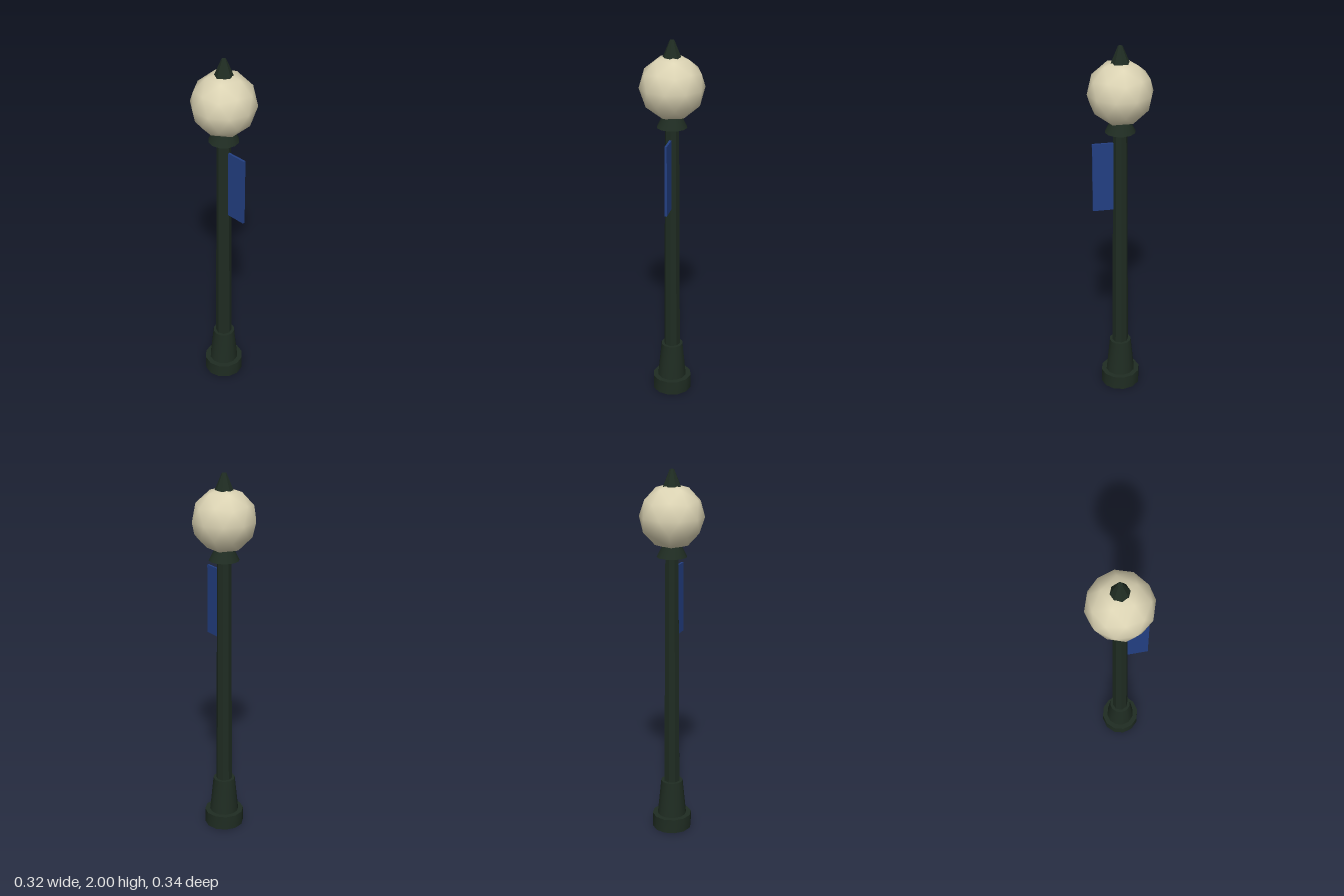
import * as THREE from 'three';
import { toCreasedNormals } from 'three/addons/utils/BufferGeometryUtils.js';

export function createModel() {
  const lamp = new THREE.Group();
  lamp.name = 'streetLamp';

  const paint = new THREE.MeshStandardMaterial({ color: 0x1f2c22 });
  paint.name = 'darkGreenPaint';
  const glass = new THREE.MeshStandardMaterial({ color: 0xdcd4b4 });
  glass.name = 'creamGlass';
  const cloth = new THREE.MeshStandardMaterial({ color: 0x233f82 });
  cloth.name = 'blueCloth';

  const add = (name, geometry, material, x = 0, y = 0, z = 0) => {
    const mesh = new THREE.Mesh(geometry, material);
    mesh.name = name;
    mesh.position.set(x, y, z);
    lamp.add(mesh);
  };

  // Tapered posts: octagons stay faceted, twelve-sided parts turn smooth
  const taper = (name, sides, y0, y1, r0, r1) => {
    const geometry = new THREE.CylinderGeometry(r1, r0, y1 - y0, sides);
    add(name, toCreasedNormals(geometry, THREE.MathUtils.degToRad(35)), paint, 0, (y0 + y1) / 2);
  };
  taper('base', 12, 0, 0.08, 0.108, 0.108);
  taper('skirt', 12, 0.08, 0.28, 0.08, 0.06);
  taper('pole', 8, 0.28, 1.55, 0.045, 0.037);
  taper('collar', 12, 1.55, 1.61, 0.08, 0.05);
  taper('finial', 8, 1.91, 2, 0.05, 0.012);

  // Globe: subdivided icosahedron standing on one of its corners
  const globe = new THREE.IcosahedronGeometry(0.17, 1);
  globe.rotateZ(-Math.atan(2 / (1 + Math.sqrt(5))));
  add('globe', globe, glass, 0, 1.76);

  // Banner hanging out from the front of the pole
  add('banner', new THREE.BoxGeometry(0.012, 0.38, 0.12), cloth, 0, 1.3, 0.087);

  return lamp;
}
